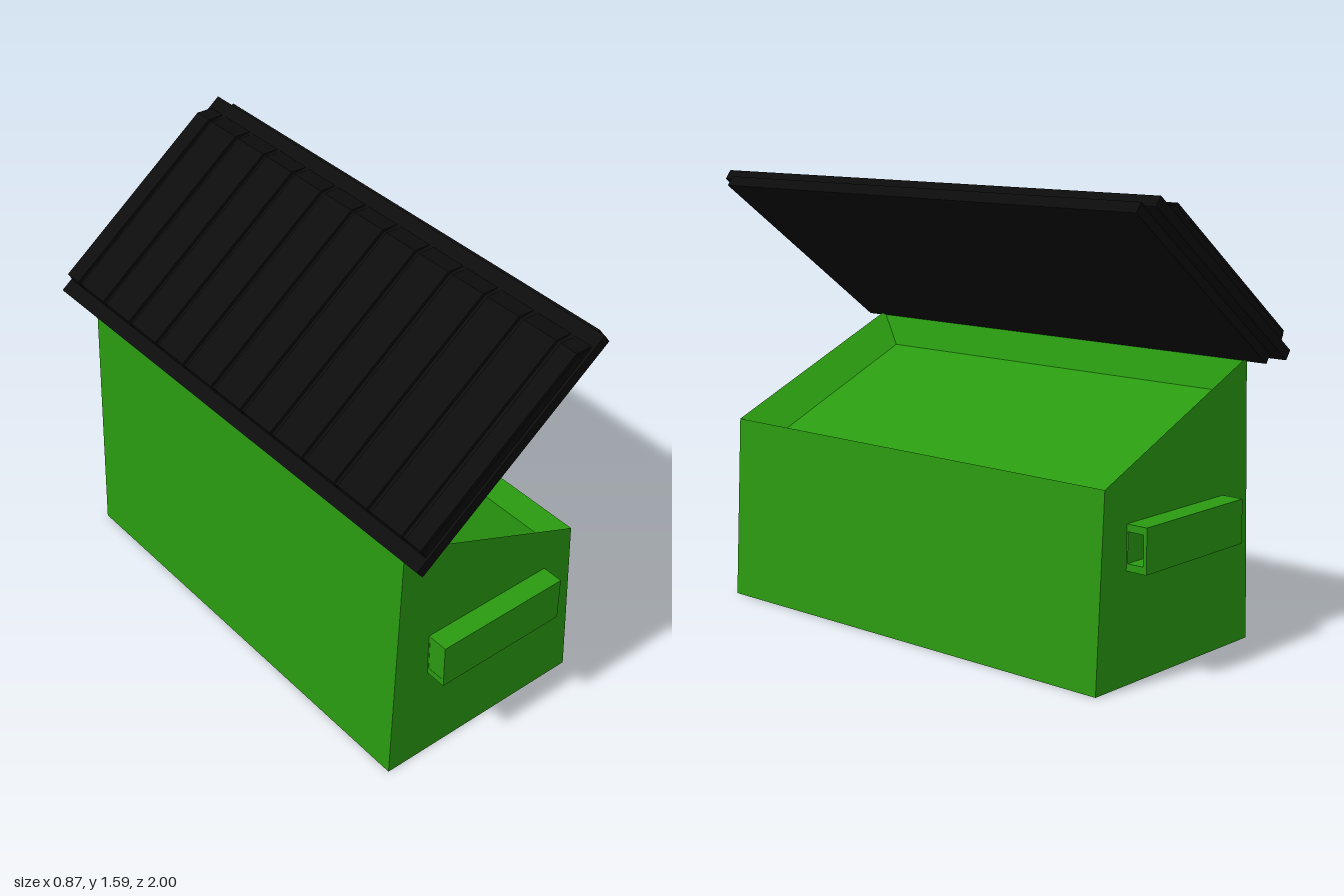
import * as THREE from 'three';

const green = new THREE.MeshStandardMaterial({ color: 0x2a9a10, flatShading: true, side: THREE.DoubleSide });
const black = new THREE.MeshStandardMaterial({ color: 0x0c0c0c, flatShading: true });

function addMesh(parent, name, geometry, material) {
  const mesh = new THREE.Mesh(geometry, material);
  mesh.name = name;
  parent.add(mesh);
  return mesh;
}

// Four-cornered ring, counter-clockwise from above: [back x, y], [front x, y], half length
const ring = ([x0, y0], [x1, y1], z) => [[x0, y0, z], [x1, y1, z], [x1, y1, -z], [x0, y0, -z]];

// Skin joining successive rings, closed at both ends
function loft(rings) {
  const pos = [];
  const quad = (a, b, c, d) => pos.push(...a, ...b, ...c, ...a, ...c, ...d);
  for (let r = 0; r < rings.length - 1; r++) {
    const a = rings[r], b = rings[r + 1];
    for (let i = 0; i < 4; i++) {
      const j = (i + 1) % 4;
      quad(a[i], a[j], b[j], b[i]);
    }
  }
  quad(...[...rings[0]].reverse());
  quad(...rings[rings.length - 1]);
  const g = new THREE.BufferGeometry();
  g.setAttribute('position', new THREE.Float32BufferAttribute(pos, 3));
  g.computeVertexNormals();
  return g;
}

// Lifting pocket: a rectangular sleeve open towards +x, closed at -x
function pocket(side, y0, y1) {
  const group = new THREE.Group();
  group.name = side > 0 ? 'frontLiftPocket' : 'backLiftPocket';
  const rect = (target, z0, z1, lo, hi) => {
    target.moveTo(-side * z0, lo);
    target.lineTo(-side * z1, lo);
    target.lineTo(-side * z1, hi);
    target.lineTo(-side * z0, hi);
    target.closePath();
    return target;
  };
  const shape = rect(new THREE.Shape(), 0.865, 0.95, y0, y1);
  shape.holes.push(rect(new THREE.Path(), 0.875, 0.937, y0 + 0.025, y1 - 0.025));
  const sleeve = new THREE.ExtrudeGeometry(shape, { depth: 0.53, bevelEnabled: false });
  sleeve.rotateY(Math.PI / 2).translate(-0.25, 0, 0);
  addMesh(group, 'pocketSleeve', sleeve, green);
  const cap = new THREE.BoxGeometry(0.01, y1 - y0 - 0.01, 0.08);
  cap.translate(-0.244, (y0 + y1) / 2, side * 0.907);
  addMesh(group, 'pocketEnd', cap, green);
  return group;
}

// Lid in its own frame: x up the slope, y out of the lid, z along the hinge
function createLid() {
  const lid = new THREE.Group();
  lid.name = 'lid';
  const slab = (name, x0, x1, y0, y1, z) => {
    const g = new THREE.BoxGeometry(x1 - x0, y1 - y0, 2 * z);
    g.translate((x0 + x1) / 2, (y0 + y1) / 2, 0);
    addMesh(lid, name, g, black);
  };
  slab('lidLip', 0, 0.914, 0, 0.04, 0.95);
  slab('lidFlange', -0.027, 0.9, 0.036, 0.075, 1);

  // Raised bed with a sloping upper end
  const raised = (name, height, width, z) => {
    const s = new THREE.Shape();
    s.moveTo(0.025, 0.07);
    s.lineTo(0.856, 0.07);
    s.lineTo(0.80, height);
    s.lineTo(0.032, height);
    s.closePath();
    const g = new THREE.ExtrudeGeometry(s, { depth: width, bevelEnabled: false });
    g.translate(0, 0, z - width / 2);
    addMesh(lid, name, g, black);
  };
  raised('lidBed', 0.104, 1.98, 0);

  // Ribs running up the slope, with narrow grooves between
  const pitch = 0.165;
  for (let i = -5; i <= 5; i++) raised('lidRib', 0.116, 0.145, i * pitch);
  for (const s of [-1, 1]) raised('lidEdgeRib', 0.116, 0.07, s * 0.952);

  lid.rotation.z = Math.atan2(0.55, 0.73);
  lid.position.set(-0.37, 0.985, 0);
  return lid;
}

export function createModel() {
  const model = new THREE.Group();
  model.name = 'openBin';

  // Tapered bin with a sloping rim and a sunken sloping floor inside
  addMesh(model, 'binBody', loft([
    ring([-0.41, 0], [0.43, 0], 0.87),
    ring([-0.372, 1.0], [0.395, 0.67], 0.87),
    ring([-0.33, 0.88], [0.355, 0.585], 0.765),
  ]), green);

  model.add(pocket(1, 0.38, 0.55), pocket(-1, 0.385, 0.54), createLid());
  return model;
}
